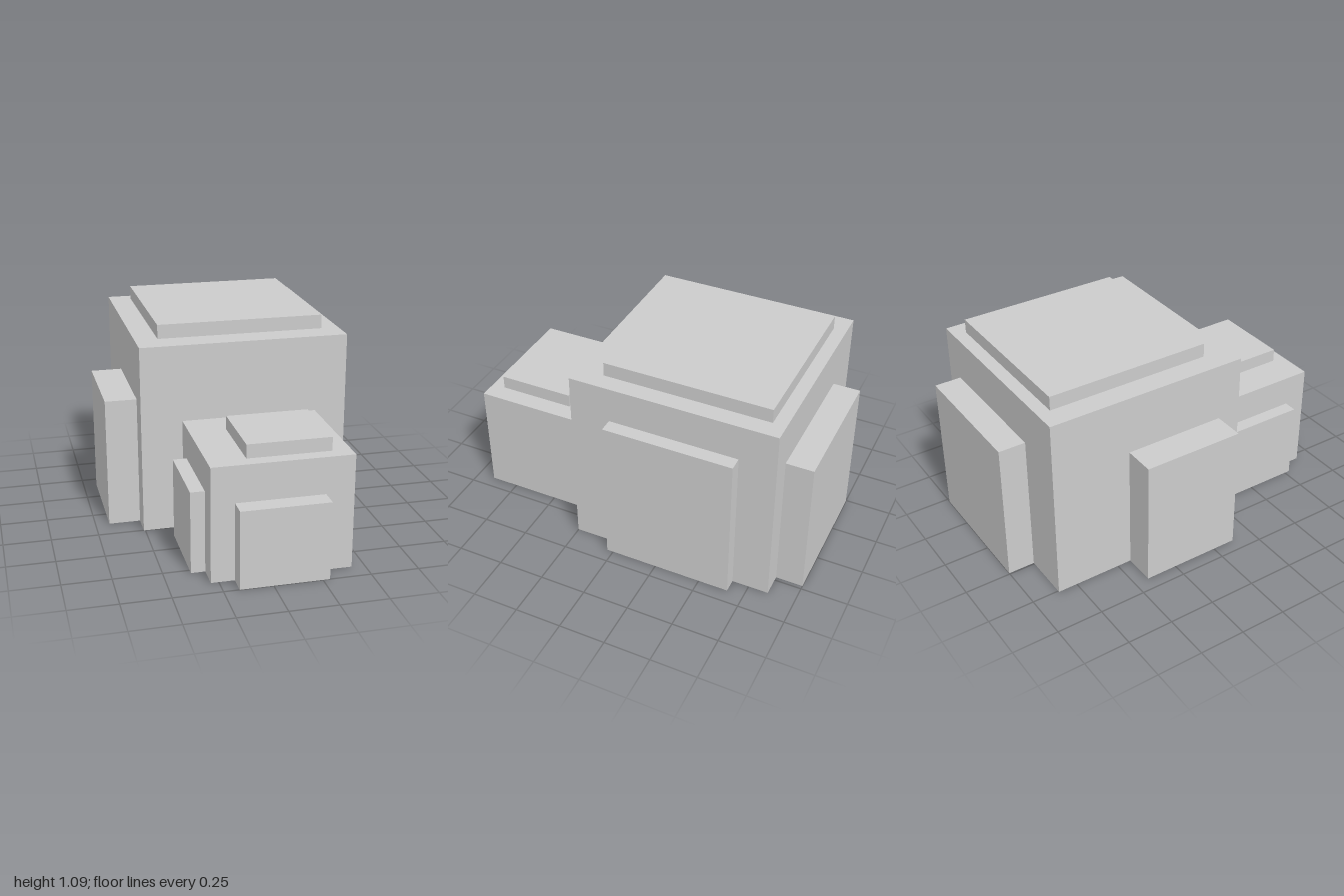
import * as THREE from 'three';

export function createModel() {
  const model = new THREE.Group();
  const material = new THREE.MeshStandardMaterial({ color: 0xcccccc, flatShading: true });

  // Box given by its extents along each axis
  function block(name, [x0, x1], [y0, y1], [z0, z1]) {
    const mesh = new THREE.Mesh(new THREE.BoxGeometry(x1 - x0, y1 - y0, z1 - z0), material);
    mesh.position.set((x0 + x1) / 2, (y0 + y1) / 2, (z0 + z1) / 2);
    mesh.name = name;
    model.add(mesh);
  }

  // Main volume with its roof slab and side extensions
  block('mainBlock', [-0.508, 0.6], [0, 1.015], [-0.855, 0.252]);
  block('mainRoofSlab', [-0.387, 0.505], [1.015, 1.09], [-0.785, 0.107]);
  block('leftExtension', [0.6, 0.674], [0, 0.82], [-0.66, 0.035]);
  block('rightExtension', [-0.676, -0.508], [0, 0.7], [-0.422, 0.126]);
  block('backExtension', [-0.243, 0.478], [0, 0.773], [-1, -0.855]);

  // Lower front wing with its roof slab and extensions
  block('frontWing', [-0.29, 0.432], [0, 0.605], [0.252, 0.902]);
  block('wingRoofSlab', [-0.097, 0.335], [0.605, 0.677], [0.422, 0.83]);
  block('wingFrontExtension', [-0.17, 0.286], [0, 0.411], [0.902, 1]);
  block('wingRightExtension', [-0.363, -0.29], [0, 0.434], [0.35, 0.78]);

  return model;
}
